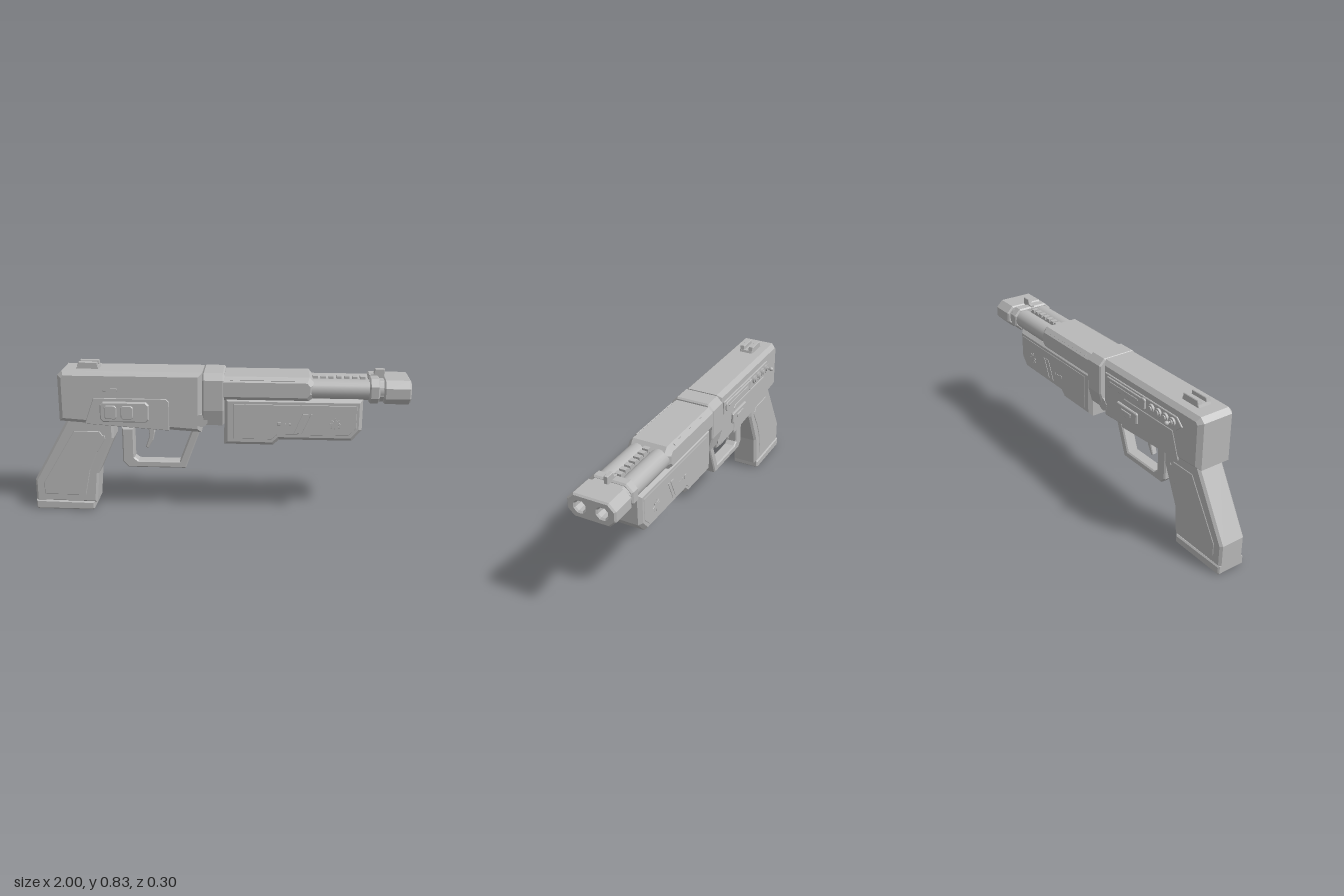
import * as THREE from 'three';

const grey = new THREE.MeshStandardMaterial({ color: 0xb8b8b8 });
grey.name = 'plain grey';

const toShape = (pts) => new THREE.Shape(pts.map(([x, y]) => new THREE.Vector2(x, y)));

// Extrudes an outline symmetrically, with a flat chamfer kept inside the outline
function chamferExtrude(shape, width, bevel) {
  const g = new THREE.ExtrudeGeometry(shape, {
    depth: width - 2 * bevel, bevelEnabled: bevel > 0, bevelThickness: bevel,
    bevelSize: bevel, bevelOffset: -bevel, bevelSegments: 1, curveSegments: 8,
  });
  return g.translate(0, 0, -width / 2 + bevel);
}

// Rectangle with cut corners
function cutRect(w, h, c, cx = 0, cy = 0) {
  const a = w / 2, b = h / 2;
  return [[-a + c, -b], [a - c, -b], [a, -b + c], [a, b - c], [a - c, b], [-a + c, b], [-a, b - c], [-a, -b + c]]
    .map(([x, y]) => [x + cx, y + cy]);
}

export function createModel() {
  const root = new THREE.Group();
  const gun = new THREE.Group();
  gun.name = 'blaster';
  gun.position.z = 0.017;
  root.add(gun);

  const add = (name, geo, x = 0, y = 0, z = 0) => {
    const m = new THREE.Mesh(geo, grey);
    m.name = name;
    m.position.set(x, y, z);
    gun.add(m);
    return m;
  };
  // Side outline (x, y) given a width in z
  const side = (name, pts, width, bevel, z = 0) => add(name, chamferExtrude(toShape(pts), width, bevel), 0, 0, z);
  // Cross-section (z, y) run along x between two stations
  const along = (name, shape, x0, x1, bevel, y = 0) =>
    add(name, chamferExtrude(shape, x1 - x0, bevel).rotateY(Math.PI / 2), (x0 + x1) / 2, y);
  const box = (name, x0, x1, y0, y1, z0, z1) =>
    add(name, new THREE.BoxGeometry(x1 - x0, y1 - y0, z1 - z0), (x0 + x1) / 2, (y0 + y1) / 2, (z0 + z1) / 2);
  const rod = (name, axis, r, len, n, x, y, z) => {
    const g = new THREE.CylinderGeometry(r, r, len, n);
    if (axis === 'x') g.rotateZ(Math.PI / 2); else g.rotateX(Math.PI / 2);
    const m = add(name, g, x, y, z);
    return m;
  };

  // Receiver, collar and hinge pin
  side('receiver', [[-0.84, 0.52], [-0.08, 0.47], [-0.03, 0.47], [-0.03, 0.795], [-0.815, 0.795], [-0.84, 0.77]].slice(0, 2)
    .concat([[-0.075, 0.795], [-0.815, 0.795], [-0.84, 0.77]]), 0.212, 0.022);
  along('collar', toShape([[-0.1, 0.515], [0.1, 0.515], [0.122, 0.6], [0.122, 0.762], [0.09, 0.795],
    [-0.09, 0.795], [-0.122, 0.762], [-0.122, 0.6]]), -0.075, 0.04, 0.008);
  rod('hingePin', 'z', 0.034, 0.216, 16, -0.08, 0.54, 0);

  // Upper shroud and lower forend
  side('shroud', [[-0.03, 0.65], [0.48, 0.65], [0.51, 0.685], [0.51, 0.745], [0.48, 0.78], [-0.03, 0.78]], 0.238, 0.026);
  side('forend', [[0.04, 0.41], [0.3, 0.41], [0.33, 0.44], [0.71, 0.44], [0.76, 0.5], [0.76, 0.667], [0.04, 0.667]], 0.214, 0.018);
  box('forendCore', 0, 0.5, 0.55, 0.7, -0.085, 0.085);

  // Grip with its base
  side('grip', [[-1, 0.045], [-0.66, 0.045], [-0.645, 0.215], [-0.555, 0.42], [-0.555, 0.53], [-0.8, 0.53], [-1, 0.17]], 0.15, 0.012);
  side('gripBase', [[-1, 0.012], [-0.992, 0.003], [-0.685, 0.003], [-0.675, 0.012], [-0.675, 0.05], [-1, 0.055]], 0.16, 0.007);

  // Trigger guard and trigger
  side('triggerGuard', [[-0.517, 0.467], [-0.517, 0.275], [-0.487, 0.243], [-0.172, 0.243], [-0.085, 0.48], [-0.13, 0.48],
    [-0.205, 0.282], [-0.43, 0.282], [-0.452, 0.3], [-0.452, 0.467]], 0.068, 0.007);
  side('trigger', [[-0.38, 0.5], [-0.37, 0.42], [-0.392, 0.355], [-0.378, 0.347], [-0.35, 0.395], [-0.34, 0.44], [-0.348, 0.5]], 0.03, 0.004);

  // Twin barrels with a toothed rib between them
  for (const s of [-1, 1]) rod('barrel', 'x', 0.053, 0.4, 20, 0.68, 0.712, s * 0.06);
  box('barrelRib', 0.48, 0.8, 0.67, 0.755, -0.014, 0.014);
  for (let i = 0; i < 7; i++) box('ribTooth', 0.5 + i * 0.041, 0.526 + i * 0.041, 0.75, 0.768, -0.017, 0.017);

  // Barrel band, neck and muzzle with two octagonal bores
  along('barrelBand', toShape(cutRect(0.24, 0.13, 0.035)), 0.788, 0.842, 0.008, 0.71);
  along('muzzleNeck', toShape(cutRect(0.22, 0.11, 0.032)), 0.83, 0.89, 0, 0.71);
  const muzzle = toShape(cutRect(0.256, 0.126, 0.036));
  for (const s of [-1, 1]) {
    const hole = new THREE.Path();
    for (let i = 0; i < 8; i++) {
      const a = -(i + 0.5) * Math.PI / 4;
      hole[i ? 'lineTo' : 'moveTo'](s * 0.059 + 0.028 * Math.cos(a), 0.028 * Math.sin(a));
    }
    hole.closePath();
    muzzle.holes.push(hole);
  }
  along('muzzle', muzzle, 0.862, 1, 0.008, 0.708);

  // Sights
  side('frontSight', [[0.79, 0.765], [0.872, 0.765], [0.872, 0.81], [0.822, 0.81], [0.815, 0.785], [0.79, 0.78]], 0.022, 0.003);
  side('rearSightBase', [[-0.75, 0.79], [-0.625, 0.79], [-0.63, 0.808], [-0.742, 0.808]], 0.078, 0.003);
  for (const s of [-1, 1])
    side('rearSightPost', [[-0.745, 0.795], [-0.63, 0.795], [-0.635, 0.83], [-0.735, 0.83]], 0.026, 0.003, s * 0.026);

  // Shallow raised panels mirrored on both sides
  const star = [];
  for (let i = 0; i < 16; i++) {
    const r = i % 2 ? 0.018 : 0.034, a = i * Math.PI / 8;
    star.push([0.62 + r * Math.cos(a), 0.535 + r * Math.sin(a)]);
  }
  for (const s of [-1, 1]) {
    side('receiverPanel', [[-0.7, 0.512], [-0.25, 0.482], [-0.25, 0.64], [-0.265, 0.655], [-0.65, 0.655]], 0.008, 0.003, s * 0.105);
    side('gripPanel', [[-0.95, 0.09], [-0.72, 0.09], [-0.69, 0.24], [-0.61, 0.43], [-0.63, 0.46], [-0.77, 0.46], [-0.95, 0.16]], 0.008, 0.003, s * 0.074);
    side('gripSlot', [[-0.652, 0.345], [-0.645, 0.34], [-0.6, 0.42], [-0.605, 0.44], [-0.622, 0.43]], 0.008, 0.003, s * 0.074);
    side('forendPanel', [[0.09, 0.445], [0.29, 0.445], [0.32, 0.472], [0.69, 0.472], [0.73, 0.515], [0.73, 0.635], [0.09, 0.635]], 0.006, 0.002, s * 0.106);
    side('starburst', star, 0.006, 0.001, s * 0.1085);
    for (const [x, w] of [[0.405, 0.03], [0.447, 0.012]])
      side('slantedStripe', [[x, 0.48], [x + w, 0.48], [x + w + 0.045, 0.588], [x + 0.045, 0.588]], 0.006, 0.001, s * 0.1085);
    for (const [x, w] of [[0.328, 0.02], [0.357, 0.012], [0.383, 0.012]])
      side('smallMark', cutRect(w, w, 0.002, x, 0.532), 0.006, 0.001, s * 0.1085);
    const strip = add('shroudStrip', new THREE.BoxGeometry(0.36, 0.014, 0.008), 0.25, 0.767, s * 0.106);
    strip.rotation.x = -s * Math.PI / 4;
  }

  // Left side: button plate with two square buttons and a small slot bar
  side('buttonPlate', cutRect(0.26, 0.11, 0.016, -0.485, 0.583), 0.022, 0.006, 0.115);
  for (const x of [-0.558, -0.47]) side('squareButton', cutRect(0.066, 0.074, 0.01, x, 0.583), 0.014, 0.004, 0.125);
  side('slotBar', cutRect(0.08, 0.016, 0.004, -0.56, 0.7), 0.006, 0.001, 0.106);

  // Right side: pointed plate with slide, knobs and lever
  side('controlPlate', [[-0.11, 0.67], [-0.68, 0.67], [-0.72, 0.705], [-0.68, 0.742], [-0.11, 0.742]], 0.012, 0.003, -0.107);
  side('slideCover', cutRect(0.32, 0.05, 0.008, -0.288, 0.706), 0.012, 0.003, -0.114);
  side('slideBar', cutRect(0.24, 0.014, 0.004, -0.275, 0.706), 0.008, 0.002, -0.119);
  side('slideHead', cutRect(0.03, 0.06, 0.006, -0.435, 0.706), 0.014, 0.003, -0.116);
  for (const x of [-0.497, -0.55, -0.603, -0.655]) {
    rod('knob', 'z', 0.023, 0.014, 12, x, 0.708, -0.117);
    rod('knobCap', 'z', 0.014, 0.008, 12, x, 0.708, -0.126);
  }
  rod('leverStem', 'z', 0.005, 0.04, 8, -0.655, 0.711, -0.135);
  add('leverBall', new THREE.SphereGeometry(0.012, 12, 8), -0.655, 0.711, -0.151);
  side('ejectPlate', cutRect(0.17, 0.062, 0.006, -0.3, 0.592), 0.016, 0.004, -0.112);
  side('ejectButton', cutRect(0.08, 0.022, 0.003, -0.3, 0.592), 0.008, 0.002, -0.121);

  return root;
}
